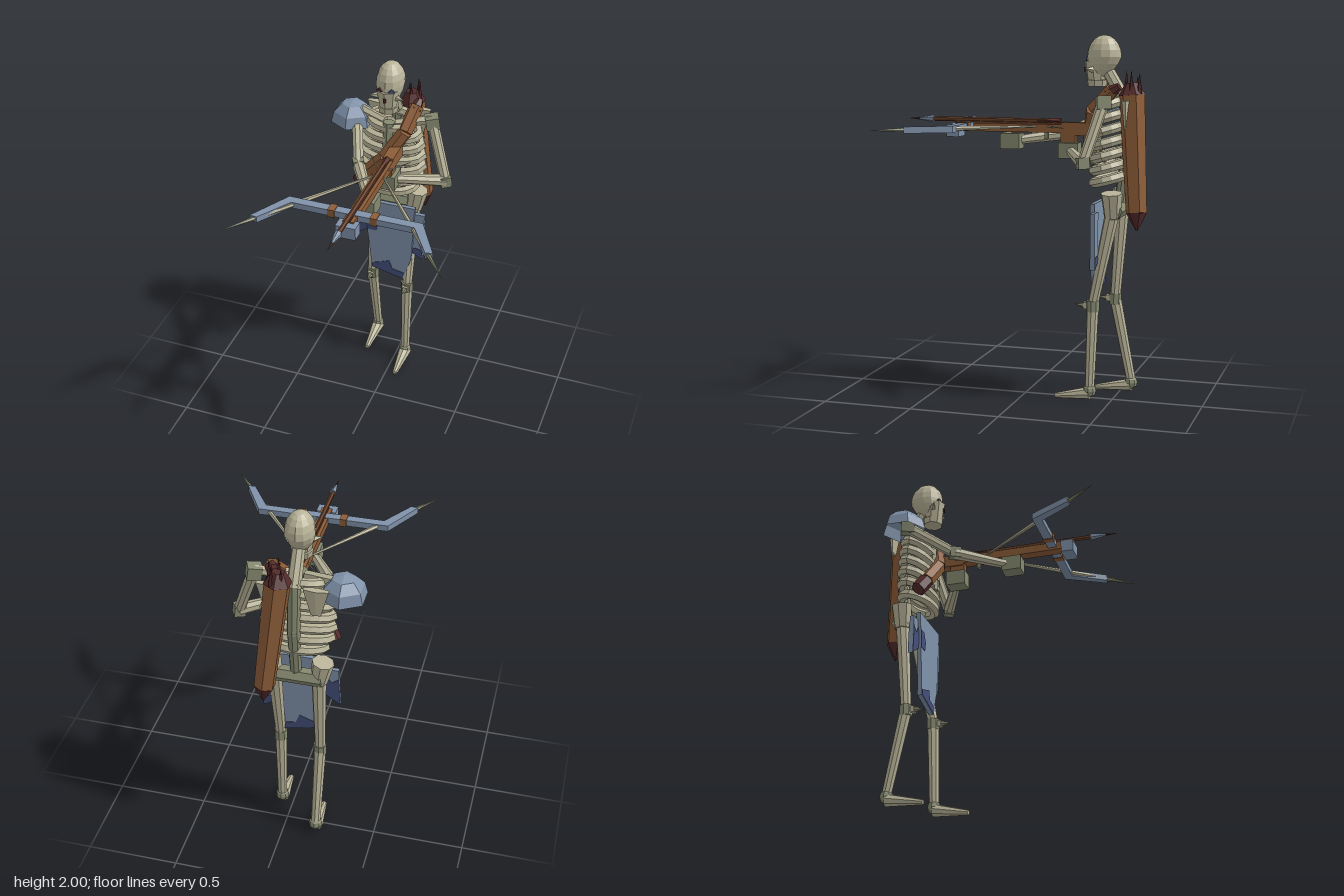
import * as THREE from 'three';

const mat = (name, color, side = THREE.FrontSide) => {
  const m = new THREE.MeshStandardMaterial({ color, flatShading: true, side });
  m.name = name;
  return m;
};

export function createModel() {
  const bone = mat('bone', 0xb8b398);
  const joint = mat('shadedBone', 0x868a70);
  const steel = mat('steel', 0x8092aa, THREE.DoubleSide);
  const darkSteel = mat('darkSteel', 0x454f7a);
  const wood = mat('wood', 0x8c5c38);
  const darkWood = mat('darkWood', 0x6a4029);
  const maroon = mat('maroon', 0x532a2a);

  const root = new THREE.Group();
  root.name = 'skeletonArcher';
  const V = (p) => new THREE.Vector3(...p);
  const up = new THREE.Vector3(0, 1, 0);

  const add = (name, geo, m, pos = [0, 0, 0], rot = [0, 0, 0], scale = [1, 1, 1]) => {
    const mesh = new THREE.Mesh(geo, m);
    mesh.name = name;
    mesh.position.set(...pos);
    mesh.rotation.set(...rot);
    mesh.scale.set(...scale);
    root.add(mesh);
    return mesh;
  };
  const box = (name, m, size, pos, rot) => add(name, new THREE.BoxGeometry(...size), m, pos, rot);
  const ball = (name, m, r, pos, scale) => add(name, new THREE.SphereGeometry(r, 8, 6), m, pos, [0, 0, 0], scale);
  // Tapered rod from a (radius ra) to b (radius rb)
  const rod = (name, m, a, b, ra, rb, sides = 8) => {
    const d = V(b).sub(V(a));
    const mesh = add(name, new THREE.CylinderGeometry(rb, ra, d.length(), sides), m);
    mesh.position.copy(V(a).addScaledVector(d, 0.5));
    mesh.quaternion.setFromUnitVectors(up, d.normalize());
    return mesh;
  };
  const shape = (pts) => new THREE.Shape(pts.map(([x, y]) => new THREE.Vector2(x, y)));
  // Flat plate cut from an outline in the xy plane
  const plate = (name, m, pts, depth, z) =>
    add(name, new THREE.ExtrudeGeometry(shape(pts), { depth, bevelEnabled: false }), m, [0, 0, z]);

  const cx = -0.06;

  // Skull: egg whose lower half narrows and shifts to the face
  const skull = new THREE.SphereGeometry(1, 12, 10);
  const sp = skull.attributes.position;
  for (let i = 0; i < sp.count; i++) {
    const y = sp.getY(i);
    const low = Math.max(0, -y);
    sp.setXYZ(i, sp.getX(i) * 0.079 * (1 - 0.1 * low), y * 0.118, sp.getZ(i) * 0.096 * (1 - 0.15 * low) + 0.03 * low);
  }
  skull.computeVertexNormals();
  add('skull', skull, bone, [cx, 1.882, -0.425]);
  add('face', new THREE.CylinderGeometry(0.066, 0.05, 0.1, 8), bone, [cx, 1.81, -0.38]);
  add('jaw', new THREE.CylinderGeometry(0.06, 0.054, 0.035, 8), bone, [cx, 1.742, -0.385]);
  add('mouth', new THREE.CylinderGeometry(0.045, 0.045, 0.02, 8), joint, [cx, 1.765, -0.38]);
  box('leftEye', darkSteel, [0.028, 0.028, 0.008], [cx + 0.034, 1.863, -0.337], [0, 0.3, 0.78]);
  box('rightEye', maroon, [0.028, 0.028, 0.008], [cx - 0.034, 1.863, -0.337], [0, -0.3, 0.78]);
  box('nose', maroon, [0.014, 0.024, 0.008], [cx, 1.815, -0.319]);
  for (const s of [-1, 1]) rod('cheekSpike', bone, [cx + s * 0.055, 1.815, -0.37], [cx + s * 0.1, 1.82, -0.345], 0.018, 0.001, 5);

  // Neck, spine and breastbone
  rod('neck', bone, [cx, 1.63, -0.55], [cx, 1.8, -0.45], 0.038, 0.035);
  rod('upperSpine', joint, [cx, 1.36, -0.56], [cx, 1.66, -0.54], 0.035, 0.035);
  rod('lowerSpine', joint, [cx, 1.04, -0.51], [cx, 1.38, -0.56], 0.03, 0.035);
  rod('breastbone', joint, [cx, 1.3, -0.37], [cx, 1.64, -0.4], 0.025, 0.035, 6);

  // Ribs: rings sloping down towards the front
  [0.14, 0.17, 0.18, 0.178, 0.17, 0.155, 0.125].forEach((w, i) => {
    const y = 1.225 + i * 0.067;
    const pts = [];
    for (let k = 0; k < 12; k++) {
      const t = (k / 12) * Math.PI * 2;
      pts.push(new THREE.Vector3(cx + Math.sin(t) * w, y - Math.cos(t) * 0.022, -0.46 + Math.cos(t) * (0.085 - 0.003 * i)));
    }
    add('rib', new THREE.TubeGeometry(new THREE.CatmullRomCurve3(pts, true), 20, 0.028, 6, true), bone);
  });

  // Collar bones and shoulder blades
  for (const s of [-1, 1]) {
    rod('collarBone', bone, [cx + s * 0.03, 1.63, -0.42], [cx + s * 0.22, 1.655, -0.48], 0.025, 0.028, 6);
    add('shoulderBlade', new THREE.CylinderGeometry(0.075, 0.03, 0.15, 6), bone, [cx + s * 0.12, 1.58, -0.575], [0, 0, 0], [1, 1, 0.28]);
  }

  // Pelvis
  rod('pelvisBar', joint, [-0.2, 1.06, -0.52], [0.08, 1.06, -0.52], 0.045, 0.045, 6);
  for (const s of [-1, 1])
    rod('hipCup', bone, [cx + s * 0.12, 1.03, -0.505], [cx + s * 0.142, 1.16, -0.505], 0.045, 0.06);

  // Legs
  const leg = (side, x, knee, ankle, toe) => {
    const hip = [x, 1.05, -0.505], k = [x, 0.54, knee], a = [x, 0.07, ankle];
    ball(side + 'HipJoint', joint, 0.05, hip);
    rod(side + 'Thigh', bone, k, hip, 0.029, 0.04);
    rod(side + 'Knee', joint, [x, 0.505, knee], [x, 0.565, knee], 0.037, 0.037);
    box(side + 'KneeCap', bone, [0.035, 0.035, 0.03], [x, 0.537, knee + 0.035]);
    rod(side + 'KneeSpike', joint, [x, 0.537, knee + 0.045], [x, 0.54, knee + 0.1], 0.018, 0.001, 5);
    rod(side + 'Shin', bone, a, k, 0.027, 0.034);
    ball(side + 'Ankle', joint, 0.038, [x, 0.06, ankle]);
    const foot = rod(side + 'Foot', bone, [x, 0.045, ankle], [x, 0.016, toe], 0.036, 0.014);
    foot.scale.x = 1.1;
  };
  leg('left', 0.06, -0.4, -0.385, -0.19);
  leg('right', -0.18, -0.47, -0.565, -0.36);

  // Arms
  const arm = (side, shoulder, elbow, hand) => {
    box(side + 'Shoulder', joint, [0.075, 0.07, 0.075], shoulder, [0, 0.4, 0.15]);
    rod(side + 'UpperArm', bone, shoulder, elbow, 0.033, 0.03);
    box(side + 'Elbow', joint, [0.06, 0.06, 0.06], elbow, [0, 0.5, 0.1]);
    rod(side + 'Forearm', bone, elbow, hand, 0.035, 0.025);
    box(side + 'Hand', joint, [0.088, 0.085, 0.11], hand);
  };
  arm('left', [0.165, 1.645, -0.475], [0.275, 1.335, -0.395], [0, 1.378, -0.25]);
  arm('right', [-0.27, 1.61, -0.46], [-0.17, 1.46, -0.21], [0, 1.422, 0.08]);

  // Shoulder plate: six-sided dome
  add('shoulderPlate', new THREE.SphereGeometry(0.125, 6, 3, 0, Math.PI * 2, 0, Math.PI / 2), steel,
    [-0.297, 1.57, -0.47], [0, Math.PI / 6, 0]);

  // Hanging armour plates with worn dark patches
  plate('frontPlate', steel, [[-0.21, 1.1], [-0.157, 0.63], [0.035, 0.585], [0.085, 0.74], [0.1, 1.1]], 0.024, -0.415);
  plate('frontPlatePatch', darkSteel, [[-0.156, 0.634], [0.033, 0.588], [0.045, 0.63], [-0.03, 0.645], [-0.05, 0.7], [-0.1, 0.68], [-0.159, 0.66]], 0.03, -0.418);
  plate('frontPlateStain', darkSteel, [[-0.197, 1.0], [-0.187, 0.9], [-0.13, 0.9], [-0.12, 0.95], [-0.15, 1.0]], 0.03, -0.418);
  plate('rightPlate', steel, [[-0.268, 1.055], [-0.278, 0.83], [-0.19, 0.89], [-0.19, 1.055]], 0.024, -0.43);
  plate('rightPlatePatch', darkSteel, [[-0.27, 1.0], [-0.277, 0.833], [-0.192, 0.891], [-0.192, 1.03], [-0.23, 0.97]], 0.03, -0.433);
  plate('leftPlate', steel, [[0.07, 1.055], [0.07, 0.79], [0.145, 0.745], [0.156, 1.055]], 0.024, -0.43);
  plate('leftPlatePatch', darkSteel, [[0.071, 0.792], [0.144, 0.747], [0.147, 0.81], [0.1, 0.82]], 0.03, -0.433);

  // Quiver with pointed caps and arrow tips
  const qTop = [0.01, 1.68, -0.595], qBot = [0.075, 1.06, -0.64];
  rod('quiver', wood, qBot, qTop, 0.057, 0.07, 6);
  rod('quiverTopCap', maroon, qTop, [0.006, 1.745, -0.59], 0.075, 0.035, 6);
  rod('quiverBottomCap', maroon, [0.083, 0.965, -0.645], qBot, 0.006, 0.058, 6);
  for (const [x, z, h] of [[0.01, -0.565, 1.81], [0.05, -0.6, 1.81], [-0.015, -0.62, 1.78], [0.03, -0.64, 1.8]])
    rod('arrowTip', maroon, [x, 1.69, z], [x, h, z], 0.016, 0.001, 5);

  // Chest strap
  const strap = [[0.065, 1.71, -0.5], [0.035, 1.6, -0.39], [-0.06, 1.45, -0.345], [-0.19, 1.3, -0.37], [-0.235, 1.23, -0.4]];
  for (let i = 0; i < 4; i++) rod('strap', i === 3 ? maroon : wood, strap[i], strap[i + 1], 0.042, 0.042, 6);
  rod('strapEnd', maroon, [0.06, 1.69, -0.48], [0.07, 1.73, -0.54], 0.04, 0.02, 6);

  // Crossbow stock, grip and loaded bolt
  box('stock', wood, [0.06, 0.045, 0.76], [0, 1.495, 0.02]);
  box('stockButt', wood, [0.06, 0.07, 0.16], [0, 1.495, -0.29]);
  box('grip', wood, [0.045, 0.1, 0.08], [0, 1.45, -0.245]);
  box('stockGroove', darkWood, [0.024, 0.012, 0.72], [0, 1.52, 0.04]);
  box('trigger', joint, [0.02, 0.04, 0.02], [0, 1.455, -0.12]);
  rod('boltShaft', darkWood, [0, 1.535, -0.2], [0, 1.535, 0.55], 0.013, 0.013, 6);
  rod('boltFletching', maroon, [0, 1.535, -0.2], [0, 1.535, 0.08], 0.018, 0.004, 4);
  rod('boltHead', steel, [0, 1.535, 0.535], [0, 1.535, 0.62], 0.021, 0.007, 6);
  rod('boltPoint', maroon, [0, 1.535, 0.62], [0, 1.535, 0.68], 0.007, 0.001, 6);

  // Bow bar with swept limbs, cut in the xz plane
  const half = [[0.365, 0.293], [0.49, 0.52], [0.45, 0.525], [0.335, 0.343]];
  const outline = [...half, ...half.map(([x, z]) => [-x, z]).reverse()];
  const bow = new THREE.ExtrudeGeometry(shape(outline), { depth: 0.035, bevelEnabled: false }).rotateX(Math.PI / 2);
  add('bow', bow, steel, [0, 1.522, 0]);
  box('bowBlock', steel, [0.11, 0.07, 0.07], [0, 1.475, 0.408]);

  // Bands and crossing spindle-shaped strings ending in spikes
  for (const s of [-1, 1]) {
    box('bowBand', wood, [0.038, 0.044, 0.06], [s * 0.115, 1.505, 0.318]);
    const mid = [s * 0.3, 1.505, 0.297];
    rod('string', bone, mid, [-s * 0.115, 1.505, -0.25], 0.013, 0.002, 6);
    rod('stringFront', bone, [s * 0.455, 1.505, 0.503], mid, 0.013, 0.013, 6);
    rod('bowSpike', joint, [s * 0.455, 1.505, 0.503], [s * 0.585, 1.505, 0.675], 0.014, 0.001, 6);
  }
  return root;
}
